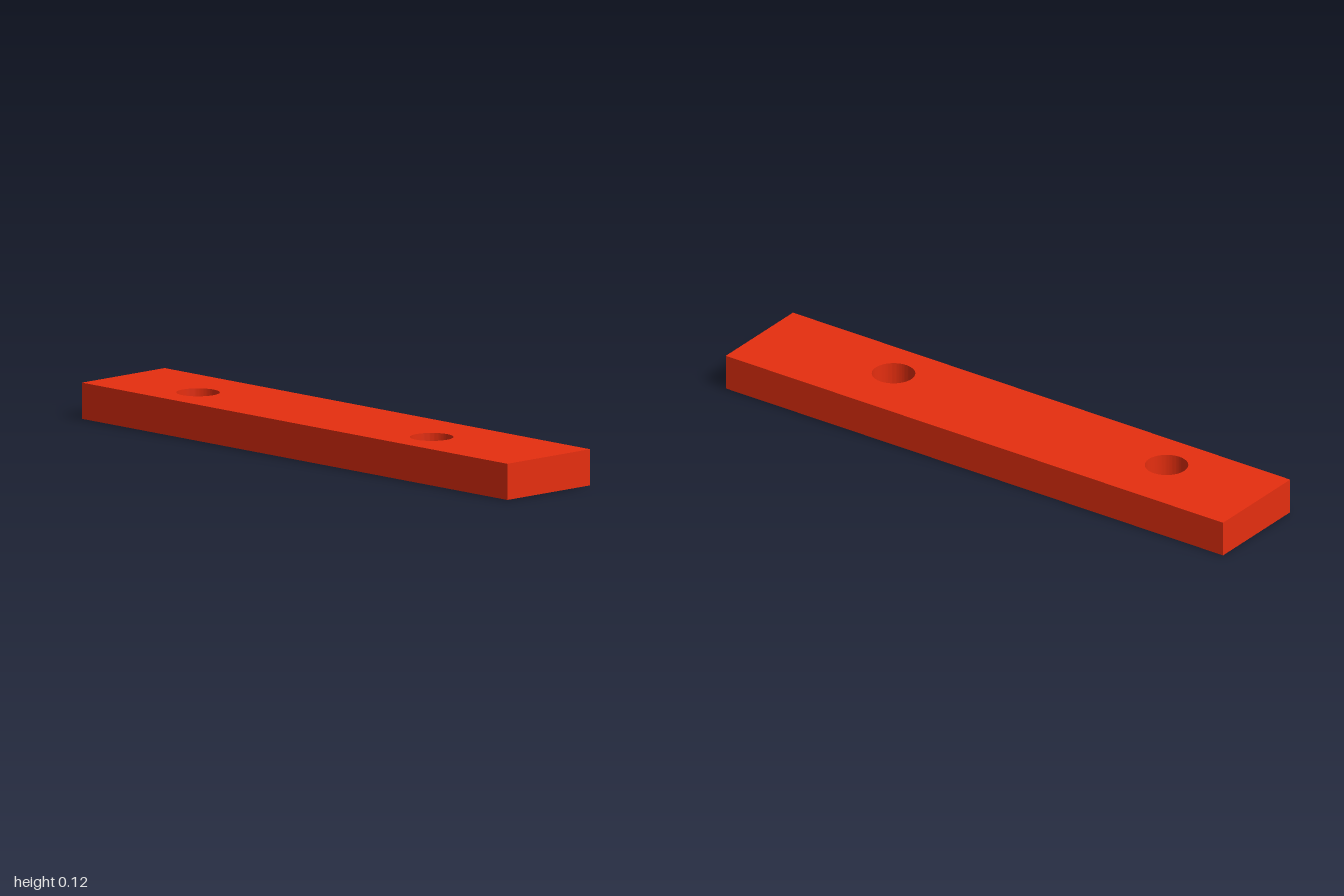
import * as THREE from 'three';
import { toCreasedNormals } from 'three/addons/utils/BufferGeometryUtils.js';

const HALF_WIDTH = 0.187, HALF_LENGTH = 1, THICKNESS = 0.12;
const HOLE_X = -0.034, HOLE_RADIUS = 0.071, HOLE_Z = [-0.613, 0.485];

export function createModel() {
  const group = new THREE.Group();
  group.name = 'mountingBar';

  // Plan outline; shape y becomes -z once the plate is laid flat
  const outline = new THREE.Shape();
  outline.moveTo(-HALF_WIDTH, -HALF_LENGTH);
  outline.lineTo(HALF_WIDTH, -HALF_LENGTH);
  outline.lineTo(HALF_WIDTH, HALF_LENGTH);
  outline.lineTo(-HALF_WIDTH, HALF_LENGTH);
  outline.closePath();

  // Two through holes, offset from the centre line
  for (const z of HOLE_Z) {
    const hole = new THREE.Path();
    hole.absarc(HOLE_X, -z, HOLE_RADIUS, 0, Math.PI * 2, true);
    outline.holes.push(hole);
  }

  const geometry = new THREE.ExtrudeGeometry(outline, {
    depth: THICKNESS, bevelEnabled: false, curveSegments: 48,
  });
  geometry.rotateX(-Math.PI / 2);

  // Smooth hole walls, sharp plate edges
  const plate = new THREE.Mesh(
    toCreasedNormals(geometry, 0.5),
    new THREE.MeshStandardMaterial({ color: 0xe62e0f }),
  );
  plate.name = 'drilledPlate';
  group.add(plate);
  return group;
}
